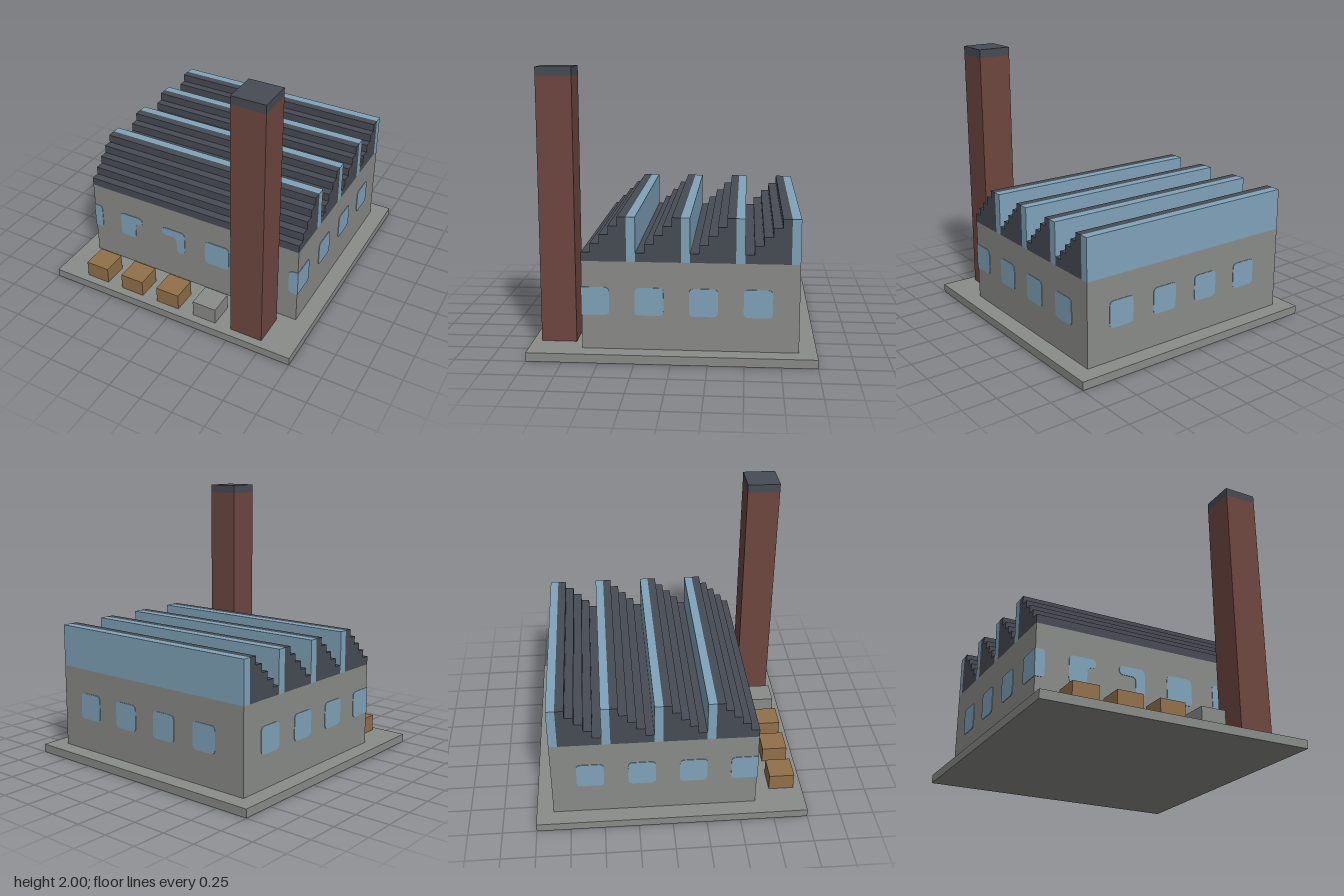
import * as THREE from 'three';

const material = (name, color) => {
  const m = new THREE.MeshStandardMaterial({ color });
  m.name = name;
  return m;
};

export function createModel() {
  const group = new THREE.Group();
  group.name = 'factory';
  const concrete = material('concrete grey', 0x8a8c89);
  const slate = material('slate', 0x474b54);
  const glass = material('glass blue', 0x80a3ba);
  const brick = material('brick red', 0x6e4740);
  const wood = material('crate wood', 0x92704a);

  const S = 0.0625; // building unit
  const T = 0.004;  // thickness of painted panes

  // Box given by its lower and upper corners
  function box(name, mat, [x0, y0, z0], [x1, y1, z1]) {
    const mesh = new THREE.Mesh(new THREE.BoxGeometry(x1 - x0, y1 - y0, z1 - z0), mat);
    mesh.position.set((x0 + x1) / 2, (y0 + y1) / 2, (z0 + z1) / 2);
    mesh.name = name;
    group.add(mesh);
  }

  // Ground slab and hall
  box('groundSlab', concrete, [-1, 0, -1], [1, S, 1]);
  box('hallWalls', concrete, [-0.875, S, -0.875], [0.875, 0.6875, 0.625]);

  // Sawtooth roof: stepped slope with a glazed strip behind it
  for (let i = 0; i < 4; i++) {
    const front = 0.625 - i * 0.375;
    const profile = new THREE.Shape();
    profile.moveTo(front, 0.6875);
    for (let k = 0; k < 5; k++) {
      profile.lineTo(front - k * S, 0.75 + k * S);
      profile.lineTo(front - (k + 1) * S, 0.75 + k * S);
    }
    profile.lineTo(front - 5 * S, 0.6875);
    const geo = new THREE.ExtrudeGeometry(profile, { depth: 1.75, bevelEnabled: false });
    geo.translate(0, 0, -0.875).rotateY(-Math.PI / 2);
    const tooth = new THREE.Mesh(geo, slate);
    tooth.name = 'roofSteps';
    group.add(tooth);
    box('roofGlazing', glass, [-0.875, 0.6875, front - 6 * S], [0.875, 1, front - 5 * S]);
  }

  // Thin pane from corners [u, v, radius], set on a wall turned about y
  function pane(corners, angle, distance) {
    const shape = new THREE.Shape();
    const n = corners.length;
    corners.forEach(([u, v, r], i) => {
      const towards = ([pu, pv]) => {
        const len = Math.hypot(pu - u, pv - v);
        return [u + (pu - u) / len * r, v + (pv - v) / len * r];
      };
      const a = towards(corners[(i + n - 1) % n]);
      const b = towards(corners[(i + 1) % n]);
      if (i === 0) shape.moveTo(...a);
      else shape.lineTo(...a);
      if (r > 0) shape.quadraticCurveTo(u, v, ...b);
    });
    shape.closePath();
    const geo = new THREE.ExtrudeGeometry(shape, { depth: T, bevelEnabled: false, curveSegments: 5 });
    geo.translate(0, 0, distance).rotateY(angle);
    const mesh = new THREE.Mesh(geo, glass);
    mesh.name = 'window';
    group.add(mesh);
  }
  const R = 0.035, LOW = 0.307, HIGH = 0.505, MID = 0.44;
  const rect = (u0, u1, rl = R, rr = R) =>
    [[u0, LOW, rl], [u1, LOW, rr], [u1, HIGH, rr], [u0, HIGH, rl]];

  // Front windows, two of them notched above the doorway
  pane(rect(-0.875 - T, -0.807, 0), 0, 0.625);
  pane(rect(0.807, 0.875 + T, R, 0), 0, 0.625);
  pane([[-0.633, LOW, R], [-0.5, LOW, R], [-0.5, MID, R], [-0.435, MID, R],
    [-0.435, HIGH, R], [-0.633, HIGH, R]], 0, 0.625);
  pane([[-0.13, LOW, R], [-0.06, LOW, R], [-0.06, HIGH, R], [-0.258, HIGH, R],
    [-0.258, MID, R], [-0.13, MID, R]], 0, 0.625);
  pane(rect(0.118, 0.317), 0, 0.625);
  pane(rect(0.493, 0.692), 0, 0.625);

  // Side and back windows; the first side window wraps the front corner
  for (let i = 0; i < 4; i++) {
    const z1 = i ? 0.63 - i * 0.375 + 0.002 : 0.625 + T;
    const z0 = 0.433 - i * 0.375;
    const r = i ? R : 0;
    pane(rect(-z1, -z0, r, R), Math.PI / 2, 0.875);
    pane(rect(z0, z1, R, r), -Math.PI / 2, 0.875);
    const x0 = 0.493 - i * 0.375;
    pane(rect(-x0 - 0.199, -x0), Math.PI, 0.875);
  }

  // Chimney
  box('chimney', brick, [0.5, S, 0.6875], [0.75, 1.9375, 0.9375]);
  box('chimneyCap', slate, [0.5, 1.9375, 0.6875], [0.75, 2, 0.9375]);

  // Row of crates and one concrete block
  for (let i = 0; i < 4; i++) {
    const x = -0.755 + i * 0.314;
    box(i < 3 ? 'crate' : 'concreteBlock', i < 3 ? wood : concrete,
      [x, S, 0.75], [x + 0.1875, 0.1875, 0.9375]);
  }
  return group;
}
